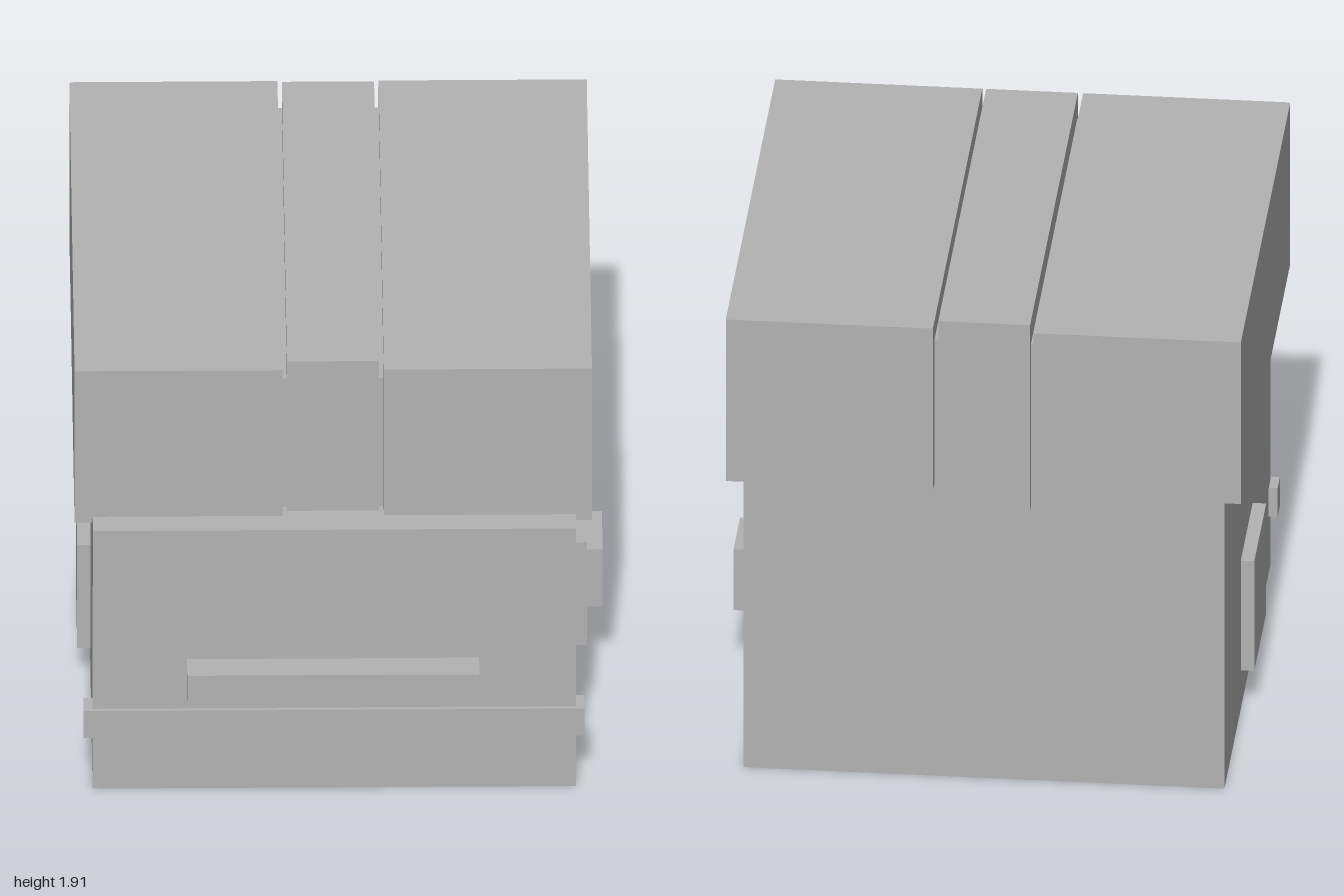
import * as THREE from 'three';

export function createModel() {
  const model = new THREE.Group();
  model.name = 'blockHead';
  const grey = new THREE.MeshStandardMaterial({ color: 0xb3b3b3 });
  grey.name = 'plain grey';

  // Box given by its extents along each axis
  function block(name, [x0, x1], [y0, y1], [z0, z1]) {
    const mesh = new THREE.Mesh(new THREE.BoxGeometry(x1 - x0, y1 - y0, z1 - z0), grey);
    mesh.position.set((x0 + x1) / 2, (y0 + y1) / 2, (z0 + z1) / 2);
    mesh.name = name;
    model.add(mesh);
  }

  const mid = -0.023; // the head's own centre line
  const front = 0.847;

  block('head', [-0.913, 0.868], [0, 1.818], [-0.937, front]);

  // Hair: two side slabs and a central strip
  block('hairRight', [-0.98, -0.213], [1.222, 1.895], [-1, 0.906]);
  block('hairLeft', [0.16, 0.927], [1.222, 1.895], [-1, 0.906]);
  block('hairStrip', [-0.197, 0.143], [1.142, 1.912], [-0.97, 0.874]);

  // Face
  block('brow', [-0.913, 0.868], [0.944, 1.248], [0.8, 1]);
  for (const [side, s] of [['Left', 1], ['Right', -1]]) {
    const eyeX = mid + s * 0.402;
    block('eye' + side, [eyeX - 0.23, eyeX + 0.23], [0.698, 0.96], [0.8, 0.86]);
    block('pupil' + side, [eyeX - 0.155, eyeX + 0.155], [0.772, 0.924], [0.8, 0.893]);
    const earX = mid + s * 0.94;
    const inner = mid + s * 0.85;
    block('ear' + side, [Math.min(earX, inner), Math.max(earX, inner)], [0.16, 0.617], [-0.303, 0.156]);
  }
  block('mouth', [-0.565, 0.512], [0.453, 0.573], [0.8, 0.957]);
  block('chinBand', [-0.946, 0.9], [0.235, 0.355], [0.775, 0.863]);

  // Button on the left ear only
  block('earButton', [0.9, 0.975], [0.262, 0.515], [-0.2, 0.053]);

  return model;
}
